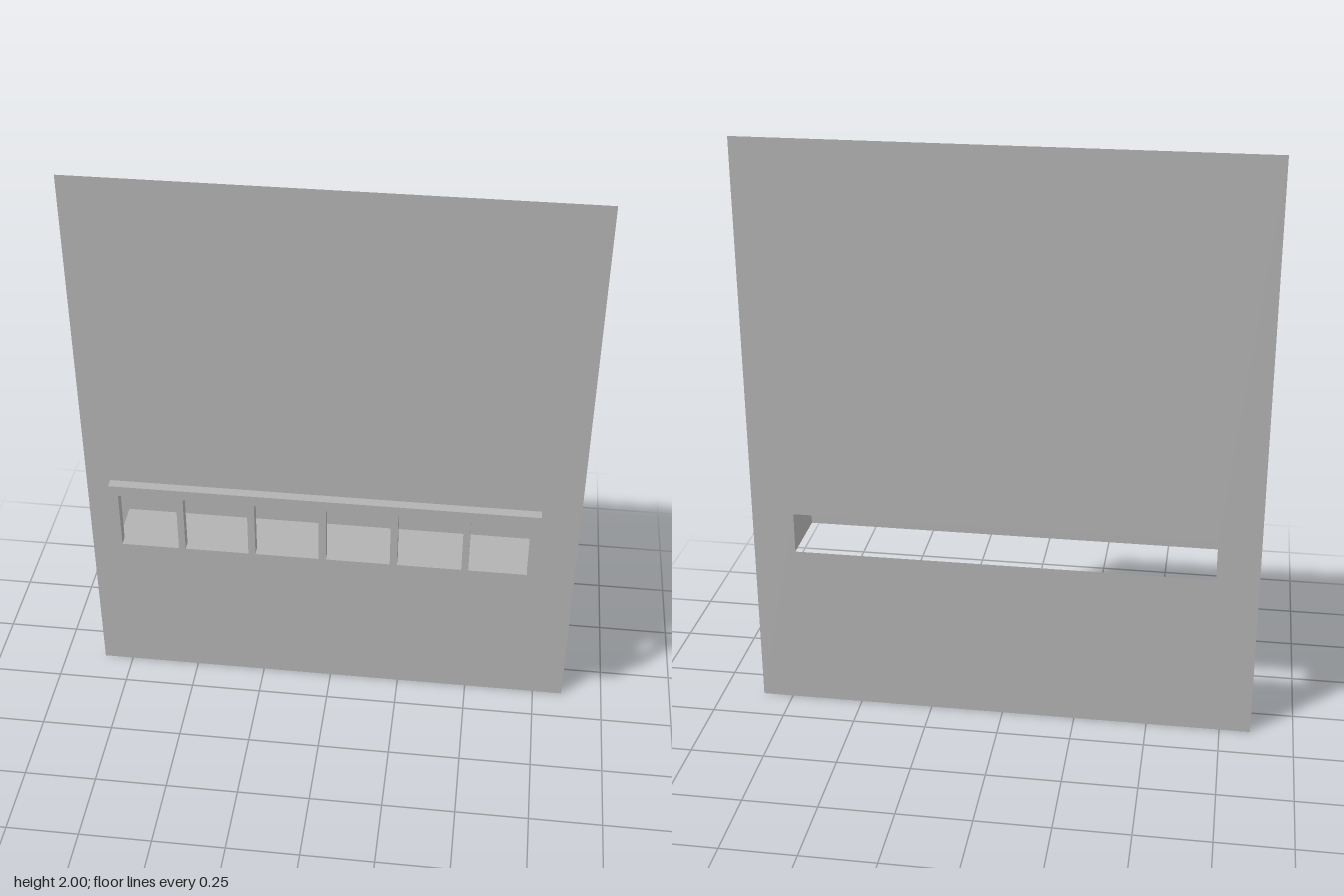
import * as THREE from 'three';

const WALL_Z = -0.12;
const HALF_W = 0.712;          // half width of ledge and frame
const LEDGE = { y0: 0.575, y1: 0.716, z1: 0.104 };

// Adds a rectangle to a shape or path
function rect(path, x0, y0, x1, y1) {
  path.moveTo(x0, y0);
  path.lineTo(x1, y0);
  path.lineTo(x1, y1);
  path.lineTo(x0, y1);
  path.closePath();
  return path;
}

export function createModel() {
  const group = new THREE.Group();
  const grey = new THREE.MeshStandardMaterial({ color: 0xb2b2b2, side: THREE.DoubleSide });
  grey.name = 'plain grey';

  const add = (name, geometry, x = 0, y = 0, z = 0) => {
    const mesh = new THREE.Mesh(geometry, grey);
    mesh.name = name;
    mesh.position.set(x, y, z);
    group.add(mesh);
  };

  // Thin wall sheet, open behind the ledge
  const wall = rect(new THREE.Shape(), -0.855, 0, 0.855, 2);
  wall.holes.push(rect(new THREE.Path(), -HALF_W, LEDGE.y0, HALF_W, LEDGE.y1));
  add('wall', new THREE.ShapeGeometry(wall), 0, 0, WALL_Z);

  // Hollow ledge: two ends, top and front, with no bottom or back
  const depth = LEDGE.z1 - WALL_Z;
  const ledge = new THREE.BoxGeometry(2 * HALF_W, LEDGE.y1 - LEDGE.y0, depth);
  const index = Array.from(ledge.index.array);
  ledge.setIndex([0, 1, 2, 4].flatMap((side) => index.slice(side * 6, side * 6 + 6)));
  ledge.clearGroups();
  add('ledge', ledge, 0, (LEDGE.y0 + LEDGE.y1) / 2, WALL_Z + depth / 2);

  // Railing frame with six openings, mirrored about the middle
  const frame = rect(new THREE.Shape(), -HALF_W, 0.718, HALF_W, 0.998);
  for (const [a, b] of [[0.012, 0.226], [0.25, 0.464], [0.487, 0.681]]) {
    frame.holes.push(rect(new THREE.Path(), a, 0.756, b, 0.961));
    frame.holes.push(rect(new THREE.Path(), -b, 0.756, -a, 0.961));
  }
  add('railingFrame', new THREE.ExtrudeGeometry(frame, { depth: 0.034, bevelEnabled: false }), 0, 0, 0.087);

  return group;
}
